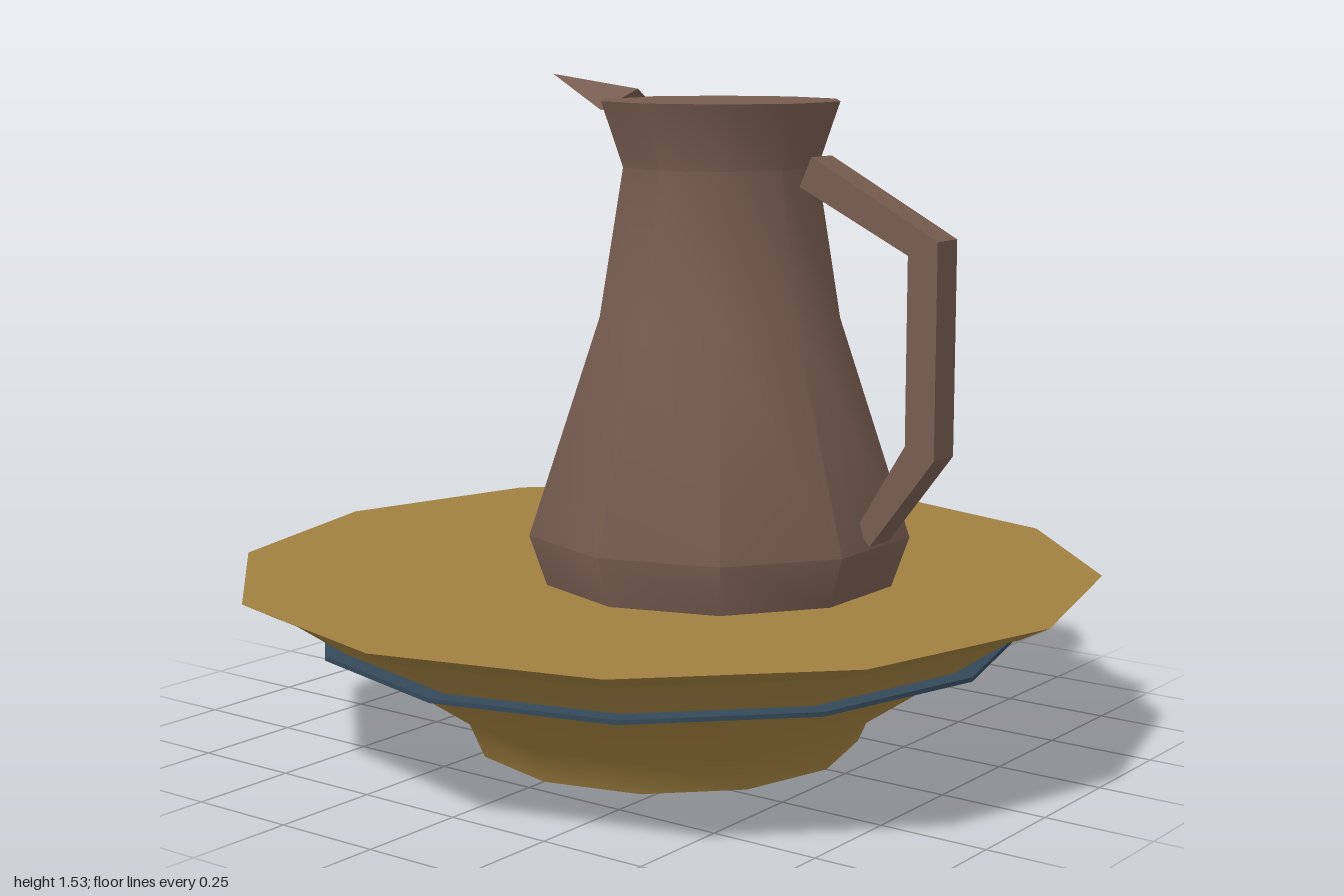
import * as THREE from 'three';
import { toCreasedNormals } from 'three/addons/utils/BufferGeometryUtils.js';
import { ConvexGeometry } from 'three/addons/geometries/ConvexGeometry.js';

const JUG_X = 0.15;

// Faceted turned solid: profile pairs [radius, height] from bottom to top
function turned(profile, sides) {
  const points = profile.map(([r, y]) => new THREE.Vector2(r, y));
  return toCreasedNormals(new THREE.LatheGeometry(points, sides), THREE.MathUtils.degToRad(42));
}

export function createModel() {
  const group = new THREE.Group();
  const material = (name, color) => {
    const m = new THREE.MeshStandardMaterial({ color });
    m.name = name;
    return m;
  };
  const ochre = material('ochre glaze', 0xa08040);
  const clay = material('brown clay', 0x775c50);
  const blue = material('slate blue', 0x34495a);

  const add = (name, geometry, mat) => {
    const mesh = new THREE.Mesh(geometry, mat);
    mesh.name = name;
    group.add(mesh);
    return mesh;
  };

  // Wide basin with a small foot
  add('basin', turned([[0, 0], [0.45, 0], [0.485, 0.08], [0.92, 0.376], [0, 0.376]], 12), ochre);
  add('basinRim', turned([[0, 0.374], [0.93, 0.374], [1, 0.41], [0, 0.41]], 12), ochre);

  // Thin ring around the basin
  add('basinBand', turned([[0.76, 0.265], [0.818, 0.265], [0.818, 0.275], [0.76, 0.275]], 12), blue);

  // Ten-sided jug standing off centre
  const jug = add('jugBody', turned([
    [0, 0.38], [0.4, 0.38], [0.405, 0.41], [0.445, 0.525], [0.28, 1.01],
    [0.225, 1.34], [0.275, 1.485], [0, 1.485],
  ], 10), clay);
  jug.position.x = JUG_X;

  // Pointed three-sided spout
  const spoutPoints = [[-0.33, 1.535, 0], [-0.08, 1.505, 0], [-0.11, 1.46, 0.1], [-0.11, 1.46, -0.1]];
  add('spout', new ConvexGeometry(spoutPoints.map((p) => new THREE.Vector3(...p))), clay);

  // Angular strap handle
  const outline = [
    [0.42, 1.37], [0.39, 1.305], [0.665, 1.172], [0.665, 0.765],
    [0.545, 0.57], [0.58, 0.535], [0.737, 0.74], [0.737, 1.205],
  ];
  const shape = new THREE.Shape(outline.map(([x, y]) => new THREE.Vector2(x, y)));
  const handle = add('handle', new THREE.ExtrudeGeometry(shape, { depth: 0.08, bevelEnabled: false }), clay);
  handle.position.z = -0.04;

  return group;
}
